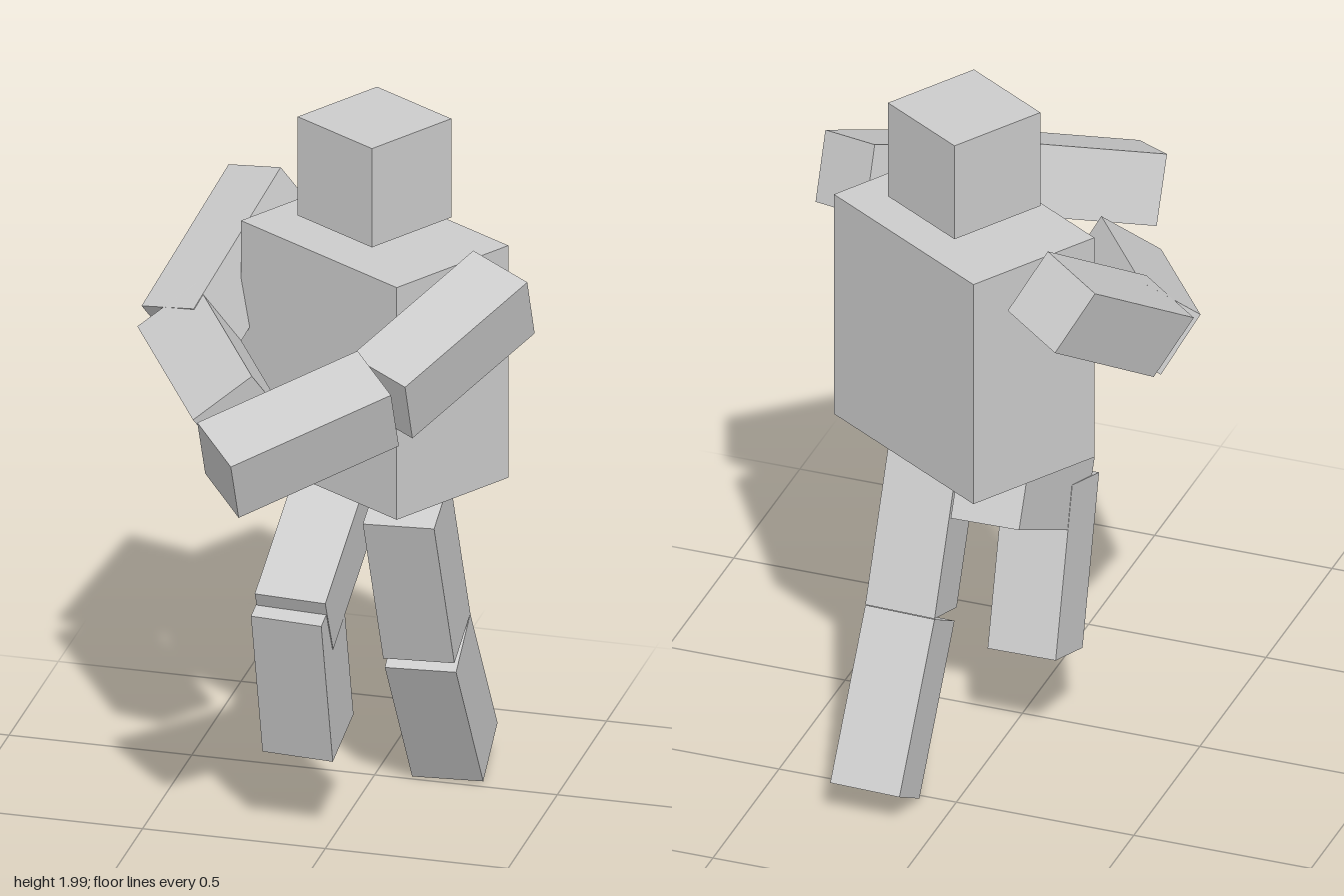
import * as THREE from 'three';

const LIMB = 0.194; // square limb thickness
const TWIST = -0.555; // torso and head turn about the vertical
const material = new THREE.MeshStandardMaterial({ color: 0xcccccc, flatShading: true });

function block(name, width, height, depth) {
  const mesh = new THREE.Mesh(new THREE.BoxGeometry(width, height, depth), material);
  mesh.name = name;
  return mesh;
}

// Square bar between the centres of its two ends; side is the normal of one long face.
function limb(name, from, to, side) {
  const a = new THREE.Vector3(...from);
  const b = new THREE.Vector3(...to);
  const along = b.clone().sub(a);
  const mesh = block(name, LIMB, LIMB, along.length());
  const z = along.normalize();
  const x = new THREE.Vector3(...side);
  x.addScaledVector(z, -x.dot(z)).normalize();
  const y = new THREE.Vector3().crossVectors(z, x);
  mesh.quaternion.setFromRotationMatrix(new THREE.Matrix4().makeBasis(x, y, z));
  mesh.position.addVectors(a, b).multiplyScalar(0.5);
  return mesh;
}

// Two bars hinged about the same side direction.
function jointedLimb(name, upper, lower, side) {
  const group = new THREE.Group();
  group.name = name;
  group.add(
    limb(upper.name, upper.from, upper.to, side),
    limb(lower.name, lower.from, lower.to, side)
  );
  return group;
}

export function createModel() {
  const model = new THREE.Group();
  model.name = 'blockFigure';

  // Torso and head
  const torso = block('torso', 0.602, 0.67, 0.404);
  torso.position.set(0.058, 1.333, -0.286);
  const head = block('head', 0.287, 0.285, 0.287);
  head.position.set(0.057, 1.8575, -0.288);
  for (const part of [torso, head]) part.rotation.y = TWIST;
  model.add(torso, head);

  // Arms, folded forwards
  model.add(jointedLimb('leftArm',
    { name: 'leftUpperArm', from: [0.46, 1.62, -0.107], to: [0.231, 1.457, 0.284] },
    { name: 'leftForearm', from: [0.225, 1.458, 0.298], to: [-0.135, 1.333, 0.588] },
    [0, 0.923, 0.385]));
  model.add(jointedLimb('rightArm',
    { name: 'rightUpperArm', from: [-0.295, 1.632, -0.573], to: [-0.428, 1.374, -0.183] },
    { name: 'rightForearm', from: [-0.435, 1.377, -0.197], to: [-0.175, 1.307, 0.203] },
    [-0.438, 0.81, 0.387]));

  // Legs, in mid stride
  model.add(jointedLimb('leftLeg',
    { name: 'leftThigh', from: [0.17, 0.945, -0.193], to: [0.182, 0.49, -0.355] },
    { name: 'leftShin', from: [0.182, 0.473, -0.363], to: [0.192, 0.058, -0.602] },
    [1, 0.03, -0.02]));
  model.add(jointedLimb('rightLeg',
    { name: 'rightThigh', from: [-0.055, 0.917, -0.39], to: [-0.07, 0.678, 0.058] },
    { name: 'rightShin', from: [-0.07, 0.737, 0.033], to: [-0.078, 0.283, -0.114] },
    [1, -0.031, 0.028]));

  return model;
}
